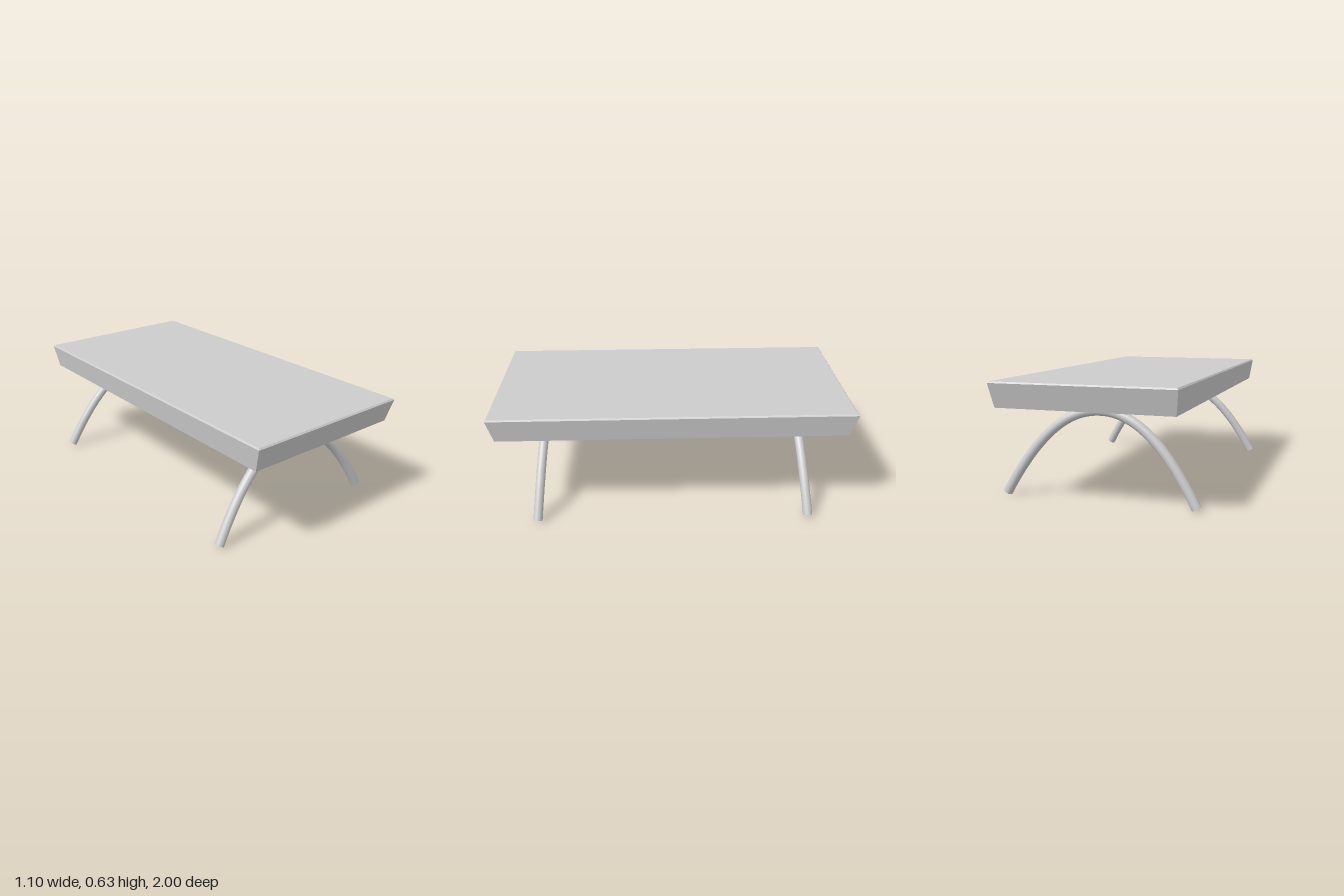
import * as THREE from 'three';

const material = new THREE.MeshStandardMaterial({ color: 0xcccccc });
const TUBE_R = 0.026;

// Centre line of one leg: a parabola-like arch that leans outward towards the floor
class ArchCurve extends THREE.Curve {
  constructor(side) {
    super();
    this.side = side;
  }
  getPoint(t, target = new THREE.Vector3()) {
    const s = 2 * t - 1;
    const drop = Math.pow(Math.abs(s), 2.1);
    return target.set(0.525 * s, 0.474 - 0.461 * drop, this.side * (0.73 + 0.039 * drop));
  }
}

// Slab with sides that flare upward and a fine chamfer round the top
function makeTop() {
  const rings = [
    [0.473, 0.965, 0.5],
    [0.49, 1.0, 0.627],
    [0.483, 0.993, 0.635],
  ];
  const geometry = new THREE.BoxGeometry(2, 2, 2, 1, 2, 1).toNonIndexed();
  const p = geometry.attributes.position;
  for (let i = 0; i < p.count; i++) {
    const [x, z, y] = rings[Math.round(p.getY(i)) + 1];
    p.setXYZ(i, p.getX(i) * x, y, p.getZ(i) * z);
  }
  geometry.computeVertexNormals();
  const mesh = new THREE.Mesh(geometry, material);
  mesh.name = 'tableTop';
  return mesh;
}

// Bent round tube closed by a flat disc at each foot
function makeLeg(side, name) {
  const leg = new THREE.Group();
  leg.name = name;
  const curve = new ArchCurve(side);
  const tube = new THREE.Mesh(new THREE.TubeGeometry(curve, 64, TUBE_R, 24, false), material);
  tube.name = 'archTube';
  leg.add(tube);
  for (const t of [0, 1]) {
    const cap = new THREE.Mesh(new THREE.CircleGeometry(TUBE_R, 24), material);
    const outward = curve.getTangent(t).multiplyScalar(t ? 1 : -1);
    cap.position.copy(curve.getPoint(t));
    cap.quaternion.setFromUnitVectors(new THREE.Vector3(0, 0, 1), outward);
    cap.name = t ? 'leftFootCap' : 'rightFootCap';
    leg.add(cap);
  }
  return leg;
}

export function createModel() {
  const table = new THREE.Group();
  table.name = 'table';
  table.add(makeTop(), makeLeg(1, 'frontLeg'), makeLeg(-1, 'backLeg'));
  return table;
}
